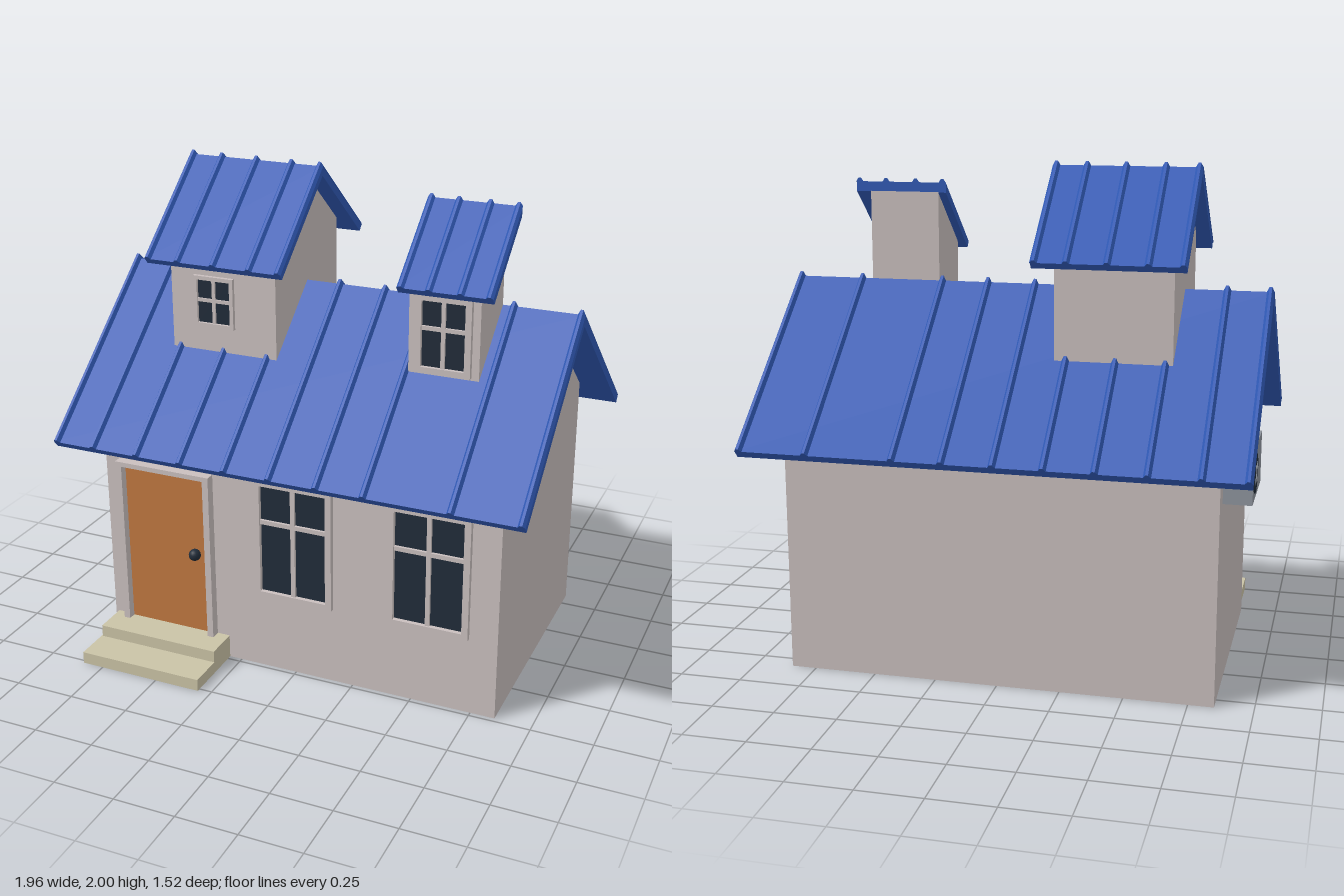
import * as THREE from 'three';

const mat = (name, color, side = THREE.FrontSide) => {
  const m = new THREE.MeshStandardMaterial({ color, side });
  m.name = name;
  return m;
};

const SLOPE = 0.83, PITCH = Math.atan(SLOPE), RIDGE_Z = -0.045;

export function createModel() {
  const house = new THREE.Group();
  house.name = 'house';
  const wall = mat('plaster', 0xc9bfbe);
  const blue = mat('roofBlue', 0x3059b5);
  const orange = mat('doorOrange', 0xc07840);
  const glass = mat('darkGlass', 0x212c39);
  const stone = mat('stepStone', 0xcac3a6);
  const grey = mat('ventGrey', 0x8f959e);

  const add = (parent, name, geo, material) => {
    const mesh = new THREE.Mesh(geo, material);
    mesh.name = name;
    parent.add(mesh);
    return mesh;
  };
  // Box given by its limits on each axis
  const box = (parent, name, material, x0, x1, y0, y1, z0, z1) => {
    const mesh = add(parent, name, new THREE.BoxGeometry(x1 - x0, y1 - y0, z1 - z0), material);
    mesh.position.set((x0 + x1) / 2, (y0 + y1) / 2, (z0 + z1) / 2);
    return mesh;
  };
  // Side profile of [z, y] points, extruded along x
  const extrudeX = (pts, x0, x1) => {
    const shape = new THREE.Shape(pts.map(([z, y]) => new THREE.Vector2(-z, y)));
    const geo = new THREE.ExtrudeGeometry(shape, { depth: x1 - x0, bevelEnabled: false });
    return geo.rotateY(Math.PI / 2).translate(x0, 0, 0);
  };

  // Walls with gable ends that follow the roof pitch
  const gableWalls = (name, x0, x1, bottom, apex, zFront, zBack) => {
    const pts = [[zBack, bottom], [zFront, bottom], [zFront, apex - SLOPE * (zFront - RIDGE_Z)], [RIDGE_Z, apex]];
    if (zBack < RIDGE_Z) pts.push([zBack, apex - SLOPE * (RIDGE_Z - zBack)]);
    add(house, name, extrudeX(pts, x0, x1), wall);
  };

  // Sloping slab between two ridge heights, with eave ends square to the slope
  const slabProfile = (low, high, run, twoSided) => {
    const t = (high - low) * Math.cos(PITCH);
    const eaveY = low - SLOPE * run;
    const outRun = run + t * Math.sin(PITCH), outY = eaveY + t * Math.cos(PITCH);
    const pts = [[RIDGE_Z, low], [RIDGE_Z + run, eaveY], [RIDGE_Z + outRun, outY], [RIDGE_Z, high]];
    if (twoSided) pts.push([RIDGE_Z - outRun, outY], [RIDGE_Z - run, eaveY]);
    return { pts, outRun };
  };

  // Roof panel with standing seams, each narrowing towards its top edge
  const roof = (name, x0, x1, low, high, seamTop, run, seams, twoSided = true) => {
    const group = new THREE.Group();
    group.name = name;
    house.add(group);
    const panel = slabProfile(low, high, run, twoSided);
    add(group, 'roofPanel', extrudeX(panel.pts, x0, x1), blue);
    const seam = slabProfile(high, seamTop, panel.outRun, twoSided);
    const middle = (high + seamTop) / 2;
    for (const x of seams) {
      const geo = extrudeX(seam.pts, -0.015, 0.015);
      const p = geo.attributes.position;
      for (let i = 0; i < p.count; i++) {
        const ridgeHeight = p.getY(i) + SLOPE * Math.abs(p.getZ(i) - RIDGE_Z);
        if (ridgeHeight > middle) p.setX(i, p.getX(i) * 0.35);
      }
      geo.computeVertexNormals();
      add(group, 'roofSeam', geo, blue).position.x = x;
    }
  };

  // Framed window with crossed glazing bars, facing +z
  const windowUnit = (name, x0, x1, y0, y1, z, border, barX, barY, bar, depth) => {
    const group = new THREE.Group();
    group.name = name;
    house.add(group);
    const rect = (path, a, b, c, d) => path.moveTo(a, c).lineTo(b, c).lineTo(b, d).lineTo(a, d).closePath();
    const shape = rect(new THREE.Shape(), x0, x1, y0, y1);
    const [a, b, c, d] = [x0 + border, x1 - border, y0 + border, y1 - border];
    shape.holes.push(rect(new THREE.Path(), a, b, c, d));
    const frame = new THREE.ExtrudeGeometry(shape, { depth, bevelEnabled: false });
    add(group, 'windowFrame', frame, wall).position.z = z;
    box(group, 'windowPane', glass, a, b, c, d, z, z + 0.004);
    box(group, 'verticalBar', wall, barX - bar / 2, barX + bar / 2, c, d, z, z + depth * 0.7);
    box(group, 'crossBar', wall, a, b, barY - bar / 2, barY + bar / 2, z, z + depth * 0.7);
  };

  // Main house
  gableWalls('mainWalls', -0.85, 0.85, 0, 1.467, 0.48, -0.57);
  roof('mainRoof', -0.98, 0.98, 1.465, 1.51, 1.53, 0.675,
    [-0.967, -0.8, -0.605, -0.412, -0.22, -0.03, 0.165, 0.357, 0.7, 0.967]);
  windowUnit('middleWindow', -0.17, 0.165, 0.33, 0.85, 0.48, 0.026, -0.003, 0.665, 0.018, 0.022);
  windowUnit('sideWindow', 0.4, 0.735, 0.33, 0.85, 0.48, 0.026, 0.567, 0.665, 0.018, 0.022);

  // Large dormer, through both slopes
  gableWalls('largeDormerWalls', -0.635, -0.175, 1.22, 1.947, 0.255, -0.345);
  roof('largeDormerRoof', -0.692, -0.105, 1.945, 1.983, 2.0, 0.385, [-0.68, -0.55, -0.395, -0.24, -0.117]);
  windowUnit('largeDormerWindow', -0.53, -0.355, 1.365, 1.575, 0.255, 0.016, -0.443, 1.475, 0.014, 0.016);

  // Small dormer, single slope
  gableWalls('smallDormerWalls', 0.37, 0.655, 1.22, 1.867, 0.225, RIDGE_Z);
  roof('smallDormerRoof', 0.338, 0.715, 1.865, 1.905, 1.92, 0.307, [0.353, 0.465, 0.59, 0.702], false);
  windowUnit('smallDormerWindow', 0.4, 0.625, 1.295, 1.61, 0.225, 0.025, 0.512, 1.475, 0.016, 0.02);

  // Door with frame and knob
  const door = new THREE.Group();
  door.name = 'frontDoor';
  house.add(door);
  box(door, 'doorLeaf', orange, -0.76, -0.385, 0.1, 0.805, 0.475, 0.486);
  box(door, 'doorJamb', wall, -0.785, -0.758, 0.1, 0.825, 0.475, 0.52);
  box(door, 'doorJamb', wall, -0.387, -0.36, 0.1, 0.825, 0.475, 0.52);
  box(door, 'doorLintel', wall, -0.758, -0.387, 0.805, 0.825, 0.475, 0.52);
  add(door, 'doorKnob', new THREE.SphereGeometry(0.025, 16, 12), glass).position.set(-0.443, 0.458, 0.5);

  // Front steps
  box(house, 'lowerStep', stone, -0.84, -0.305, 0, 0.05, 0.475, 0.765);
  box(house, 'upperStep', stone, -0.835, -0.305, 0.05, 0.1, 0.475, 0.62);

  // Wall vent unit with a fan on its outer face
  const vent = new THREE.Group();
  vent.name = 'ventUnit';
  house.add(vent);
  box(vent, 'ventCase', grey, -0.96, -0.845, 0.775, 0.98, -0.48, -0.14);
  const disc = add(vent, 'fanOpening', new THREE.CylinderGeometry(0.075, 0.075, 0.006, 24).rotateZ(Math.PI / 2), glass);
  disc.position.set(-0.961, 0.878, -0.395);
  for (let i = 0; i < 4; i++) {
    const blade = add(vent, 'fanBlade', new THREE.BoxGeometry(0.004, 0.045, 0.016).translate(0, 0.026, 0), grey);
    blade.position.set(-0.964, 0.878, -0.395);
    blade.rotation.x = Math.PI / 4 + i * Math.PI / 2;
  }
  return house;
}
